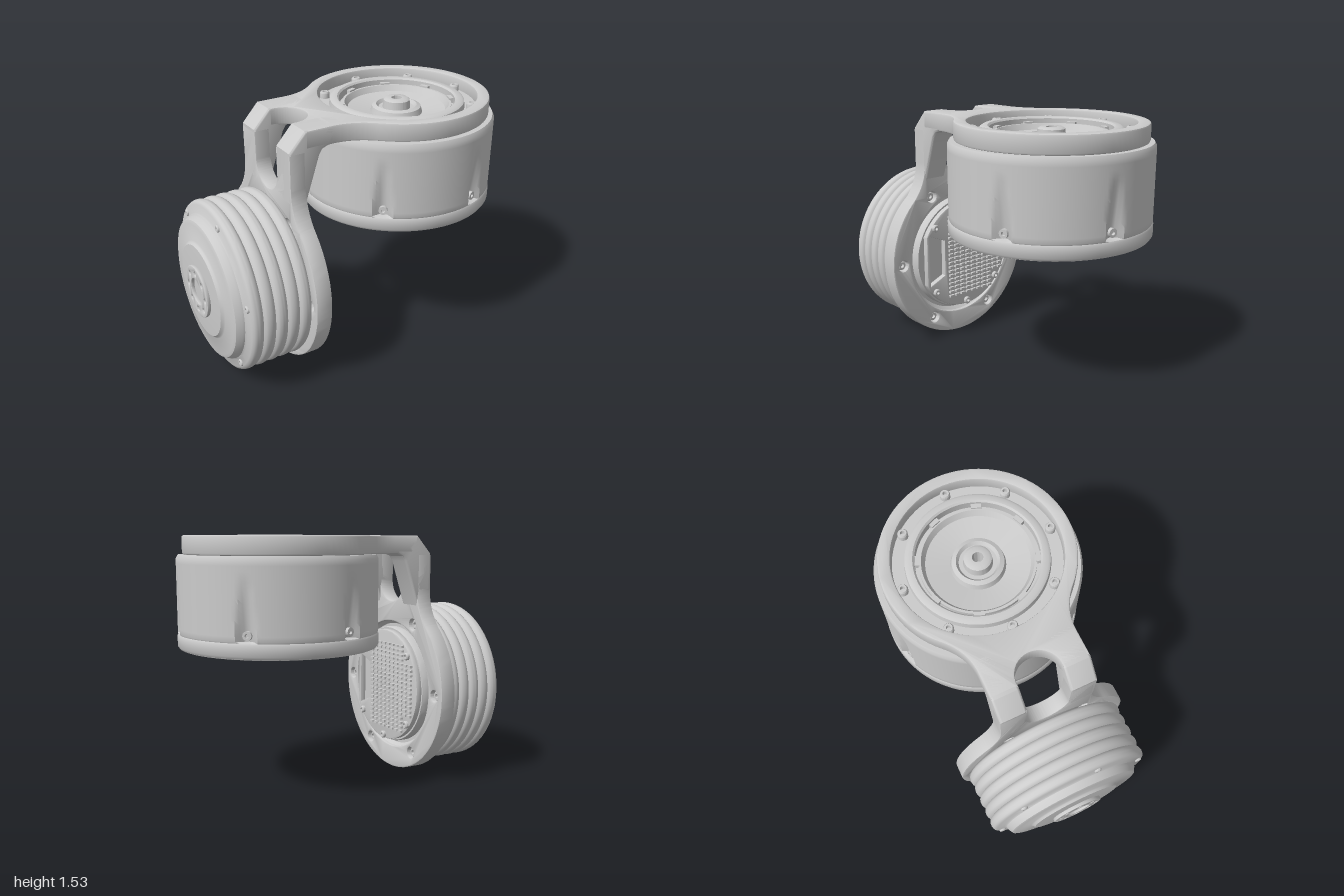
import * as THREE from 'three';
import { toCreasedNormals, mergeGeometries } from 'three/addons/utils/BufferGeometryUtils.js';

const material = new THREE.MeshStandardMaterial({ color: 0xcccccc });
const TAU = Math.PI * 2;

function add(parent, name, geometry, y = 0) {
  const mesh = new THREE.Mesh(toCreasedNormals(geometry, 0.6), material);
  mesh.name = name;
  mesh.position.y = y;
  parent.add(mesh);
  return mesh;
}

// Turned part around y; profile runs from the bottom up
const lathe = (profile, segments = 72) =>
  new THREE.LatheGeometry(profile.map(([r, y]) => new THREE.Vector2(r, y)), segments);

const circle = (x, y, r) => new THREE.Path().absarc(x, y, r, 0, TAU, true);

// Evenly spaced points on a circle
const around = (n, r, phase = 0) => Array.from({ length: n }, (_, i) => {
  const a = phase + (i * TAU) / n;
  return [r * Math.cos(a), r * Math.sin(a)];
});

// Flat plate extruded upwards along y
function plate(shape, depth, bevel = 0.006) {
  return new THREE.ExtrudeGeometry(shape, {
    depth: depth - 2 * bevel, bevelSize: bevel, bevelThickness: bevel,
    bevelOffset: -bevel, bevelSegments: 2, curveSegments: 32,
  }).translate(0, 0, bevel).rotateX(-Math.PI / 2);
}

function disc(R, centreHole, n, holeCircle, holeR, depth, bevel = 0.006) {
  const shape = new THREE.Shape().absarc(0, 0, R, 0, TAU);
  if (centreHole) shape.holes.push(circle(0, 0, centreHole));
  for (const [x, y] of around(n, holeCircle)) shape.holes.push(circle(x, y, holeR));
  return plate(shape, depth, bevel);
}

// Socket-head screws on a circle, axes along y
function screws(parent, name, points, y, r, h) {
  const head = lathe([[r, 0], [r, h * 0.8], [r * 0.8, h], [r * 0.45, h], [r * 0.4, h * 0.4], [0, h * 0.4]], 16);
  for (const [x, z] of points) add(parent, name, head.clone().translate(x, 0, z), y);
}

// Clamp ring with a forked arm pointing along the shape's +y
function forkedRing(inner, length, notch, holes, holeR) {
  const s = new THREE.Shape();
  s.moveTo(0.29, length);
  s.lineTo(0.13, length);
  s.lineTo(0.13, notch + 0.13);
  s.absarc(0, notch + 0.13, 0.13, 0, Math.PI, true);
  s.lineTo(-0.13, length);
  s.lineTo(-0.29, length);
  s.lineTo(-0.29, 0.64);
  s.quadraticCurveTo(-0.29, 0.502, -0.396, 0.396);
  s.absarc(0, 0, 0.56, Math.PI * 0.75, Math.PI * 2.25, false);
  s.quadraticCurveTo(0.29, 0.502, 0.29, 0.64);
  s.closePath();
  s.holes.push(circle(0, 0, inner));
  for (const [x, y] of holes) s.holes.push(circle(x, y, holeR));
  return s;
}

function bracket() {
  const g = new THREE.Group();
  g.name = 'bracket';
  const top = add(g, 'upperClampRing', plate(forkedRing(0.485, 0.8, 0.65, [], 0), 0.11, 0.012), 1.42);
  top.rotation.y = Math.PI / 2;
  top.position.x = 0.4;
  const holes = around(6, 0.48);
  const side = add(g, 'sideClampRing',
    plate(forkedRing(0.42, 0.85, 0.55, holes, 0.036), 0.1, 0.008).rotateX(Math.PI / 2).rotateY(Math.PI / 2), 0.56);
  side.position.x = -0.51;

  // Chamfered elbows with a gusset, one per fork arm
  const elbow = new THREE.Shape([
    [-0.51, 1.12], [-0.41, 1.1], [-0.32, 1.375], [-0.3, 1.405], [-0.26, 1.42],
    [-0.17, 1.42], [-0.17, 1.53], [-0.41, 1.53], [-0.51, 1.42],
  ].map(([x, y]) => new THREE.Vector2(x, y)));
  for (const sign of [-1, 1]) {
    const geo = new THREE.ExtrudeGeometry(elbow, {
      depth: 0.13, bevelSize: 0.015, bevelThickness: 0.015, bevelOffset: -0.015, bevelSegments: 3,
    });
    add(g, 'forkElbow', geo.translate(0, 0, sign * 0.21 - 0.065));
  }
  return g;
}

function largeMotor() {
  const g = new THREE.Group();
  g.name = 'largeMotor';
  g.position.x = 0.4;

  // Housing: lower rim, fluted wall, open top with a dished centre and hub
  const wall = Array.from({ length: 16 }, (_, i) => [0.597, 0.967 + i * 0.0287]);
  const housing = lathe([
    [0, 0.885], [0.58, 0.885], [0.59, 0.875], [0.6, 0.89], [0.6, 0.95], [0.594, 0.96], ...wall,
    [0.585, 1.42], [0.5, 1.42], [0.49, 1.455], [0.415, 1.455], [0.41, 1.49], [0.395, 1.5], [0.365, 1.5],
    [0.355, 1.49], [0.355, 1.44], [0.335, 1.44], [0.335, 1.465], [0.32, 1.465], [0.3, 1.43], [0.16, 1.405],
    [0.15, 1.44], [0.125, 1.45], [0.11, 1.43], [0.085, 1.43], [0.08, 1.48], [0.065, 1.49], [0.032, 1.49], [0.03, 1.38], [0, 1.38],
  ], 180);
  const p = housing.attributes.position;
  const phase = 0.21;
  for (let i = 0; i < p.count; i++) {
    const x = p.getX(i), y = p.getY(i), z = p.getZ(i), r = Math.hypot(x, z);
    const t = (y - 0.96) / 0.36;
    if (r < 0.59 || t <= 0 || t > 1) continue;
    const a = Math.atan2(z, x) - phase, step = TAU / 6;
    const d = (Math.abs(a - Math.round(a / step) * step) * r) / (0.058 - 0.025 * t);
    const k = 1 - (0.05 * (1 - t) * Math.max(0, 1 - d * d)) / r;
    p.setX(i, x * k);
    p.setZ(i, z * k);
  }
  add(g, 'housing', housing);

  // Base plate with pits and output flange
  add(g, 'basePlate', disc(0.582, 0, 8, 0.45, 0.025, 0.018), 0.869);
  add(g, 'outputFlange', disc(0.21, 0.085, 8, 0.15, 0.016, 0.012, 0.003), 0.858);

  // Radial screws at the foot of each flute
  around(6, 0.55, phase).forEach(([x, z]) => {
    const head = lathe([[0.026, 0], [0.026, 0.03], [0.012, 0.03], [0.01, 0.015], [0, 0.015]], 14)
      .rotateZ(-Math.PI / 2).rotateY(-Math.atan2(z, x)).translate(x, 1.0, z);
    add(g, 'sideScrew', head);
  });
  screws(g, 'ringScrew', around(8, 0.455), 1.45, 0.03, 0.045);
  // Small clips between the inner rims
  for (const [x, z] of around(8, 0.345, 0.4)) {
    const clip = new THREE.BoxGeometry(0.035, 0.03, 0.06).rotateY(-Math.atan2(z, x)).translate(x, 1.46, z);
    add(g, 'rimClip', clip);
  }
  return g;
}

// Built around y, then laid on its side so +y points to -x
function smallMotor() {
  const g = new THREE.Group();
  g.name = 'smallMotor';
  g.rotation.z = Math.PI / 2;
  g.position.y = 0.56;

  // Ribbed body with stepped end cap
  const ribs = Array.from({ length: 41 }, (_, i) => {
    const c = Math.abs(Math.sin((i / 40) * Math.PI * 5));
    return [0.497 + 0.025 * Math.pow(c, 0.45), 0.512 + i * 0.0094];
  });
  add(g, 'ribbedBody', lathe([
    [0, 0.4], [0.375, 0.4], [0.38, 0.41], [0.38, 0.455], [0.4, 0.455], [0.425, 0.43], [0.425, 0.512], ...ribs,
    [0.45, 0.892], [0.44, 0.9], [0.437, 0.915], [0.42, 0.945], [0.4, 0.952], [0.3, 0.955], [0.29, 0.962], [0.28, 0.974],
    [0.17, 0.98], [0, 0.98],
  ], 96));
  add(g, 'outputFlange', disc(0.16, 0.08, 8, 0.12, 0.016, 0.022, 0.004), 0.978);
  screws(g, 'capScrew', around(6, 0.475, 0.3), 0.875, 0.022, 0.025);

  // Screws seated in the clamp ring, facing +x
  const clampScrews = new THREE.Group();
  clampScrews.name = 'clampScrews';
  clampScrews.rotation.x = Math.PI;
  screws(clampScrews, 'clampScrew', around(6, 0.48, Math.PI / 2), -0.46, 0.03, 0.03);
  // Cover screws
  const coverPoints = [[0.22, 0.26], [0.22, -0.26], [-0.22, 0.26], [-0.22, -0.26], [-0.34, 0]];
  screws(clampScrews, 'coverScrew', coverPoints, -0.375, 0.024, 0.03);
  g.add(clampScrews);

  // Electronics cover: disc with one flat side and a recessed pocket
  const cover = new THREE.Shape().absarc(0, 0, 0.365, -1.1, Math.PI + 1.1, false);
  cover.closePath();
  cover.holes.push(new THREE.Path([[-0.17, -0.3], [-0.12, -0.18], [0.12, -0.18], [0.17, -0.3]]
    .map(([x, y]) => new THREE.Vector2(x, y))));
  add(g, 'electronicsCover', plate(cover, 0.04), 0.365);

  // Heat sink: rows of short fins, wider in the middle
  const fins = [];
  for (let row = 0; row < 20; row++) {
    const x = -0.275 + row * 0.029;
    const columns = Math.abs(x) < 0.175 ? 10 : 8;
    for (let c = 0; c < columns; c++) {
      fins.push(new THREE.BoxGeometry(0.014, 0.018, 0.034).translate(x, 0.357, 0.135 - c * 0.048));
    }
  }
  add(g, 'heatSinkFins', mergeGeometries(fins));
  return g;
}

export function createModel() {
  const model = new THREE.Group();
  model.name = 'jointAssembly';
  model.add(bracket(), largeMotor(), smallMotor());
  return model;
}
